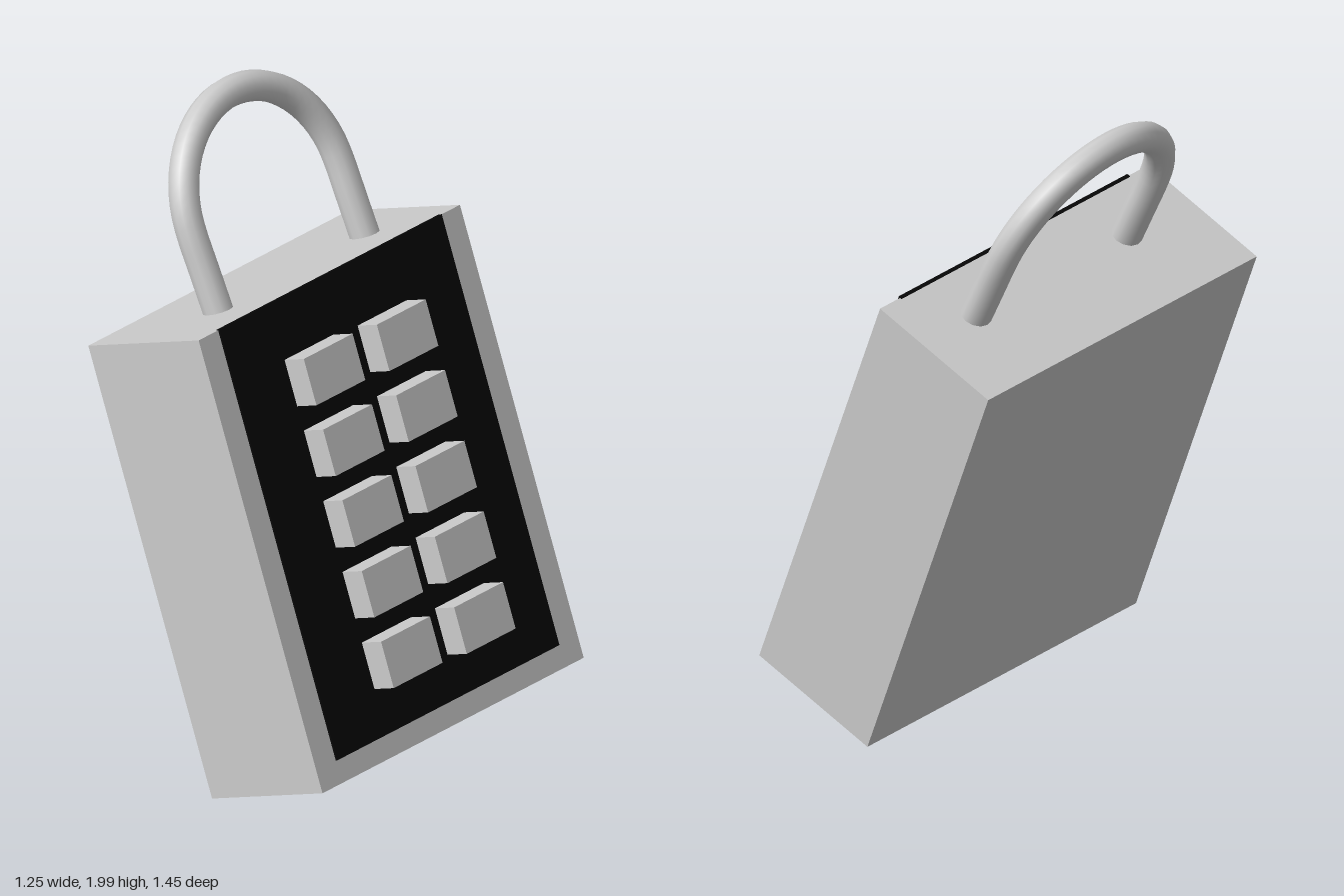
import * as THREE from 'three';

const W = 1.187, H = 1.416, D = 0.453; // body size
const grey = new THREE.MeshStandardMaterial({ color: 0xcccccc });
const black = new THREE.MeshStandardMaterial({ color: 0x060606 });

function box(name, size, position, material, parent) {
  const mesh = new THREE.Mesh(new THREE.BoxGeometry(...size), material);
  mesh.name = name;
  mesh.position.set(...position);
  parent.add(mesh);
  return mesh;
}

// U-shaped bar: two straight legs joined by a half circle
function makeShackle() {
  const radius = 0.333, legTop = 0.235, buried = -0.04;
  const path = new THREE.CurvePath();
  const arc = [];
  for (let i = 0; i <= 16; i++) {
    const t = Math.PI * (1 - i / 16);
    arc.push(new THREE.Vector3(radius * Math.cos(t), legTop + radius * Math.sin(t), 0));
  }
  const points = [
    new THREE.Vector3(-radius, buried, 0),
    new THREE.Vector3(-radius, legTop / 2, 0),
    ...arc,
    new THREE.Vector3(radius, legTop / 2, 0),
    new THREE.Vector3(radius, buried, 0),
  ];
  for (let i = 1; i < points.length; i++) path.add(new THREE.LineCurve3(points[i - 1], points[i]));
  const curve = new THREE.CatmullRomCurve3(points, false, 'centripetal');
  const mesh = new THREE.Mesh(new THREE.TubeGeometry(curve, 48, 0.047, 12, false), grey);
  mesh.name = 'shackle';
  mesh.position.set(0.022, H / 2, 0.05);
  mesh.rotation.x = -0.09; // leans slightly back
  return mesh;
}

export function createModel() {
  const lock = new THREE.Group();
  lock.name = 'padlock';

  box('body', [W, H, D], [0, 0, 0], grey, lock);
  box('keypadPanel', [1.01, 1.347, 0.012], [0, 0.0365, D / 2], black, lock);
  lock.add(makeShackle());

  // Two columns of five push buttons
  const buttons = new THREE.Group();
  buttons.name = 'buttons';
  for (let row = 0; row < 5; row++) {
    const y = 0.462 - row * 0.221;
    box('leftButton', [0.222, 0.145, 0.085], [-0.168, y, D / 2 + 0.0425], grey, buttons);
    box('rightButton', [0.222, 0.145, 0.085], [0.16, y - 0.01, D / 2 + 0.0425], grey, buttons);
  }
  lock.add(buttons);

  // Tilt the whole lock so it stands on one corner
  const up = new THREE.Vector3(-0.333, 0.933, -0.139).normalize();
  const out = new THREE.Vector3(0.888, 0.362, 0.287).normalize();
  const across = new THREE.Vector3().crossVectors(up, out).normalize();
  out.crossVectors(across, up);
  lock.quaternion.setFromRotationMatrix(new THREE.Matrix4().makeBasis(across, up, out));
  lock.position.y = 0.759;

  const model = new THREE.Group();
  model.add(lock);
  return model;
}
